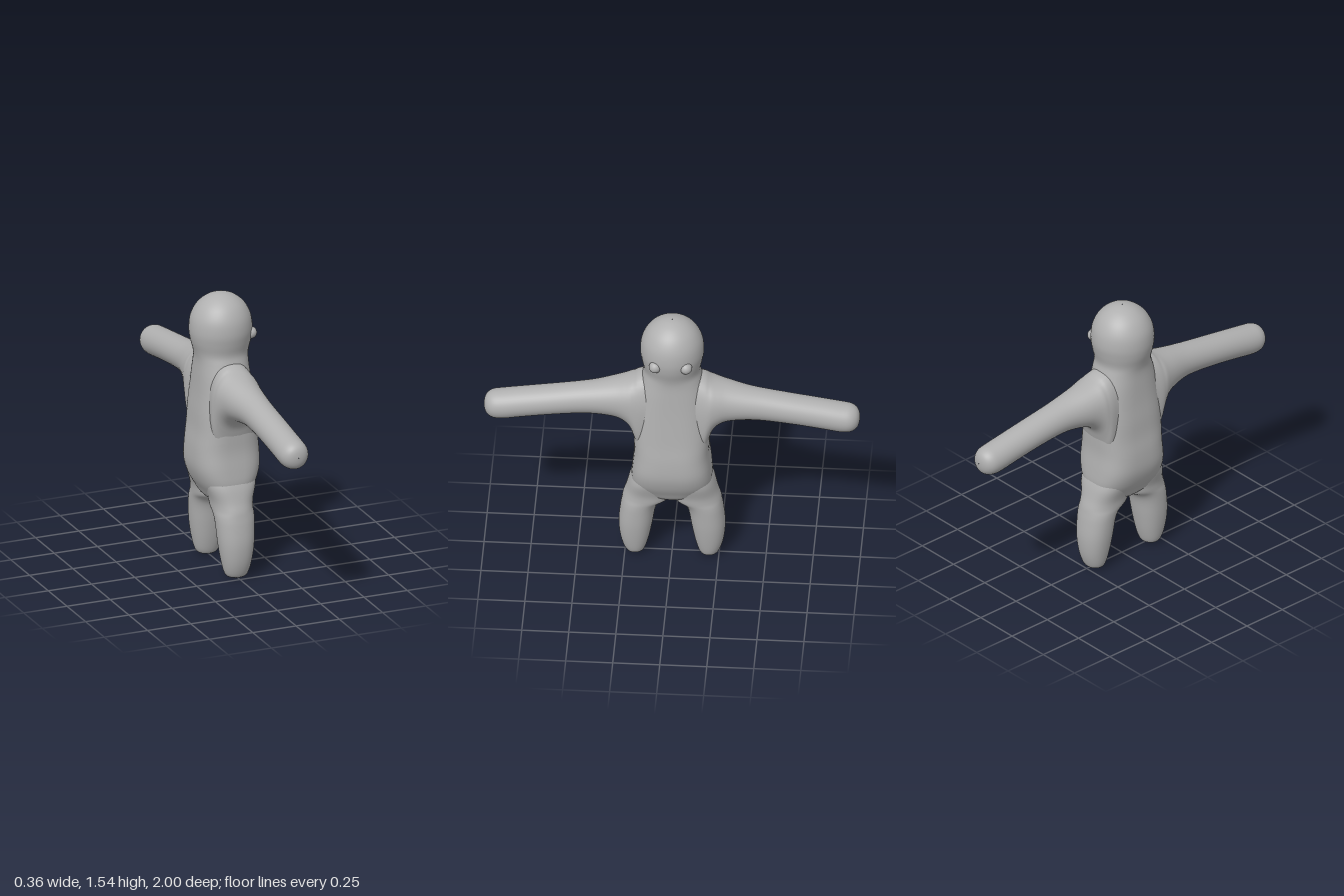
import * as THREE from 'three';

// Uniform Catmull-Rom interpolation of whole rows of numbers
function smoothRows(rows, steps) {
  const out = [];
  const at = (i) => rows[Math.min(Math.max(i, 0), rows.length - 1)];
  for (let i = 0; i < rows.length - 1; i++) {
    for (let s = 0; s < steps; s++) {
      const t = s / steps;
      out.push(at(i).map((p1, k) => {
        const p0 = at(i - 1)[k], p2 = at(i + 1)[k], p3 = at(i + 2)[k];
        return p1 + 0.5 * t * (p2 - p0 + t * (2 * p0 - 5 * p1 + 4 * p2 - p3
          + t * (3 * (p1 - p2) + p3 - p0)));
      }));
    }
  }
  out.push(rows[rows.length - 1]);
  return out;
}

// Skin through superellipse sections: [position, centreX, radiusX, centreV, radiusV, exponent]
// V is z for a vertical loft and y for a loft along z.
function loft(rows, axis, segments = 40, steps = 4) {
  const rings = smoothRows(rows, steps);
  const positions = [], index = [];
  const power = (v, n) => Math.sign(v) * Math.abs(v) ** (2 / n);
  rings.forEach(([p, cx, rx, cv, rv, n], j) => {
    for (let i = 0; i < segments; i++) {
      const a = (i / segments) * Math.PI * 2;
      const x = cx + Math.max(rx, 0.001) * power(Math.cos(a), n);
      const v = Math.max(rv, 0.001) * power(Math.sin(a), n);
      if (axis === 'y') positions.push(x, p, cv + v);
      else positions.push(x, cv - v, p);
      if (j < rings.length - 1) {
        const q = j * segments + i, r = j * segments + (i + 1) % segments;
        index.push(q, q + segments, r, r, q + segments, r + segments);
      }
    }
  });
  const geometry = new THREE.BufferGeometry();
  geometry.setAttribute('position', new THREE.Float32BufferAttribute(positions, 3));
  geometry.setIndex(index);
  geometry.computeVertexNormals();
  return geometry;
}

export function createModel() {
  const model = new THREE.Group();
  const clay = new THREE.MeshStandardMaterial({ color: 0xb0b0b0 });
  clay.name = 'grey clay';

  const add = (name, geometry) => {
    const mesh = new THREE.Mesh(geometry, clay);
    mesh.name = name;
    model.add(mesh);
    return mesh;
  };

  // Torso, neck and head in one vertical skin
  add('bodyAndHead', loft([
    [0.382, 0, 0.002, 0, 0.002, 2.2],
    [0.39, 0, 0.07, 0, 0.08, 2.2],
    [0.42, 0, 0.108, 0, 0.16, 2.4],
    [0.46, 0, 0.13, 0, 0.2, 2.6],
    [0.52, 0, 0.16, 0, 0.215, 2.8],
    [0.6, 0, 0.18, 0, 0.21, 3],
    [0.7, 0, 0.178, 0, 0.2, 3],
    [0.8, 0, 0.165, 0, 0.203, 3],
    [0.9, -0.002, 0.157, 0, 0.205, 2.8],
    [1.0, -0.002, 0.148, 0, 0.195, 2.7],
    [1.1, -0.003, 0.142, 0, 0.18, 2.5],
    [1.18, -0.004, 0.139, 0, 0.16, 2.3],
    [1.23, -0.005, 0.146, 0, 0.15, 2.1],
    [1.29, -0.005, 0.163, 0, 0.162, 2],
    [1.35, -0.005, 0.17, 0, 0.17, 2],
    [1.42, -0.005, 0.161, 0, 0.161, 2],
    [1.48, -0.004, 0.13, 0, 0.13, 2],
    [1.52, -0.003, 0.085, 0, 0.085, 2],
    [1.54, -0.002, 0.038, 0, 0.038, 2],
    [1.545, -0.002, 0.002, 0, 0.002, 2],
  ], 'y', 48));

  // Both arms in one skin through the shoulders
  const arm = [
    [0.1, -0.002, 0.125, 0.94, 0.26, 2.4],
    [0.17, -0.002, 0.132, 0.943, 0.243, 2.4],
    [0.2, 0, 0.131, 0.98, 0.19, 2.3],
    [0.22, 0.001, 0.128, 1.005, 0.155, 2.3],
    [0.25, 0.003, 0.121, 1.018, 0.132, 2.2],
    [0.3, 0.005, 0.11, 1.024, 0.113, 2.1],
    [0.4, 0.012, 0.094, 1.02, 0.095, 2],
    [0.5, 0.014, 0.086, 1.01, 0.087, 2],
    [0.65, 0.015, 0.084, 0.99, 0.083, 2],
    [0.8, 0.015, 0.083, 0.967, 0.083, 2],
    [0.9, 0.015, 0.083, 0.951, 0.083, 2],
    [0.95, 0.015, 0.077, 0.948, 0.077, 2],
    [0.98, 0.015, 0.058, 0.948, 0.06, 2],
    [0.995, 0.015, 0.032, 0.949, 0.034, 2],
    [1, 0.015, 0.002, 0.95, 0.002, 2],
  ];
  const mirrored = arm.map(([z, ...rest]) => [-z, ...rest]).reverse();
  add('arms', loft([...mirrored, ...arm], 'z'));

  for (const side of [1, -1]) {
    // Leg, leaning inward to form the arch at the hips
    add(side > 0 ? 'rightLeg' : 'leftLeg', loft([
      [0, 0, 0.002, 0.195, 0.002, 2],
      [0.004, 0, 0.038, 0.195, 0.034, 2],
      [0.025, 0, 0.064, 0.197, 0.055, 2.1],
      [0.1, 0, 0.083, 0.198, 0.077, 2.2],
      [0.2, 0, 0.098, 0.193, 0.091, 2.2],
      [0.3, 0, 0.105, 0.18, 0.095, 2.2],
      [0.35, 0, 0.108, 0.162, 0.105, 2.2],
      [0.385, 0, 0.11, 0.131, 0.129, 2.2],
      [0.43, 0, 0.115, 0.12, 0.125, 2.3],
      [0.5, 0, 0.135, 0.11, 0.115, 2.5],
      [0.56, 0, 0.14, 0.1, 0.1, 2.5],
    ].map(([y, cx, rx, cz, rz, n]) => [y, cx, rx, side * cz, rz, n]), 'y'));

    // Bead eye
    add(side > 0 ? 'rightEye' : 'leftEye', new THREE.SphereGeometry(0.033, 24, 16))
      .position.set(0.134, 1.325, side * 0.082);
  }
  return model;
}
